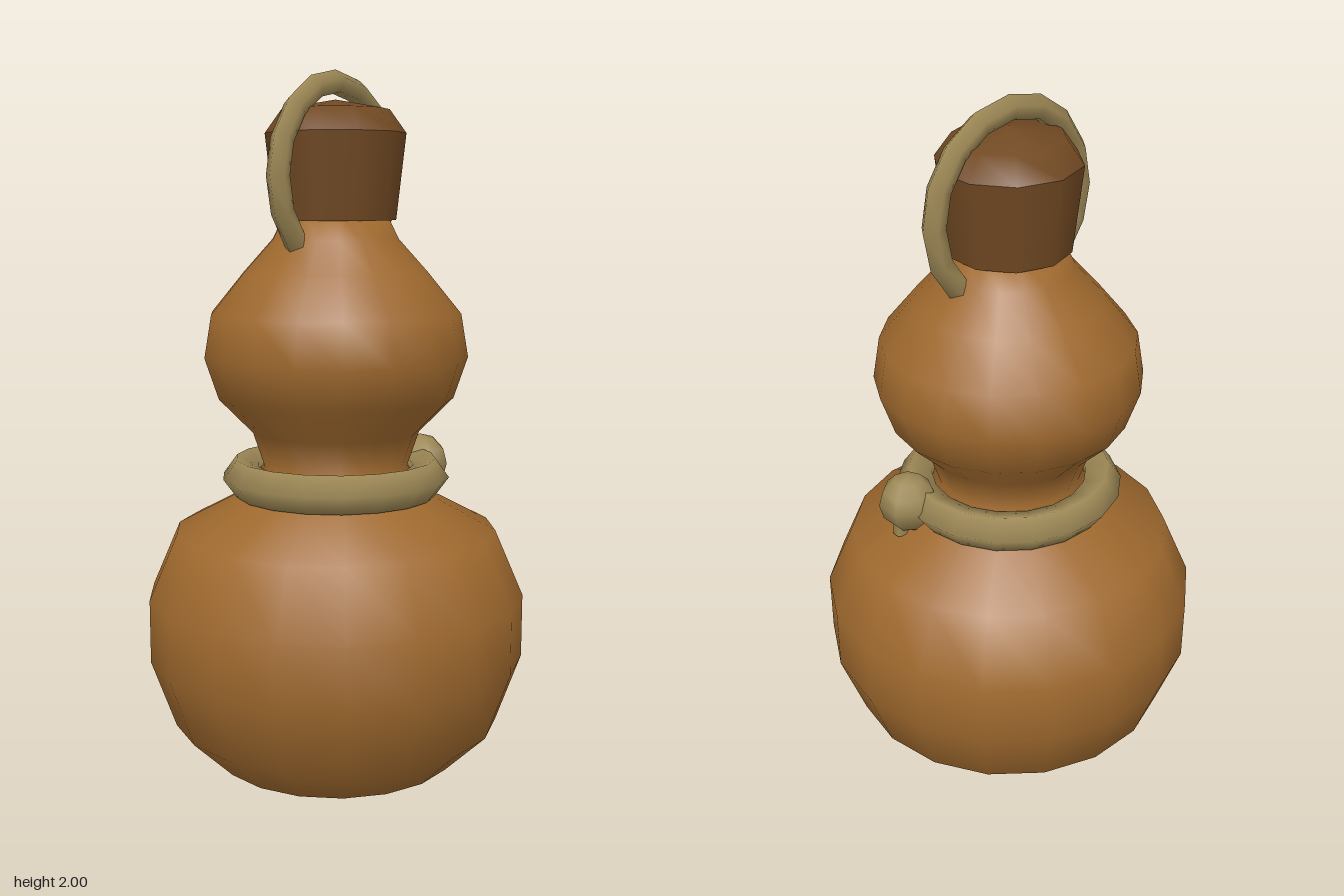
import * as THREE from 'three';

const mat = (name, color, side = THREE.FrontSide) => {
  const m = new THREE.MeshStandardMaterial({ color, side });
  m.name = name;
  return m;
};

export function createModel() {
  const model = new THREE.Group();
  model.name = 'gourdFlask';

  const gourdSkin = mat('gourd brown', 0x9f692e);
  const corkWood = mat('cork brown', 0x704822);
  const rope = mat('rope tan', 0x9c8755, THREE.DoubleSide);

  const add = (name, geometry, material, x = 0, y = 0, z = 0) => {
    const mesh = new THREE.Mesh(geometry, material);
    mesh.name = name;
    mesh.position.set(x, y, z);
    model.add(mesh);
    return mesh;
  };
  const lathe = (points, sides, start = 0) =>
    new THREE.LatheGeometry(points.map(([r, y]) => new THREE.Vector2(r, y)), sides, start);

  // Double-bulb body, closed at the mouth
  add('gourdBody', lathe([
    [0, 0], [0.18, 0.027], [0.34, 0.095], [0.457, 0.208], [0.525, 0.397],
    [0.525, 0.573], [0.446, 0.756], [0.262, 0.853], [0.2, 0.935], [0.232, 1.03],
    [0.325, 1.125], [0.363, 1.238], [0.343, 1.355], [0.253, 1.465],
    [0.172, 1.555], [0.14, 1.62], [0, 1.63],
  ], 18, Math.PI / 2), gourdSkin);

  // Stopper with a shallow domed cap
  add('cork', new THREE.CylinderGeometry(0.19, 0.164, 0.23, 10), corkWood, 0, 1.72, 0);
  add('corkCap', lathe([[0.19, 1.835], [0.145, 1.897], [0, 1.922]], 10), corkWood);

  // Three-quarter loop over the stopper
  add('carryLoop', new THREE.TorusGeometry(0.2475, 0.0325, 5, 12, Math.PI * 1.5), rope, 0, 1.72, 0)
    .rotation.z = -Math.PI / 4;

  // Cord around the waist, with its knot and short tail
  add('waistCord', new THREE.TorusGeometry(0.261, 0.055, 5, 18), rope, 0, 0.9025, 0)
    .rotation.x = Math.PI / 2;
  add('knot', new THREE.SphereGeometry(0.082, 7, 6), rope, 0.286, 0.908, 0.095);
  add('cordTail', new THREE.CylinderGeometry(0.03, 0.022, 0.1, 6), rope, 0.305, 0.86, 0.1)
    .rotation.z = 0.15;

  return model;
}
